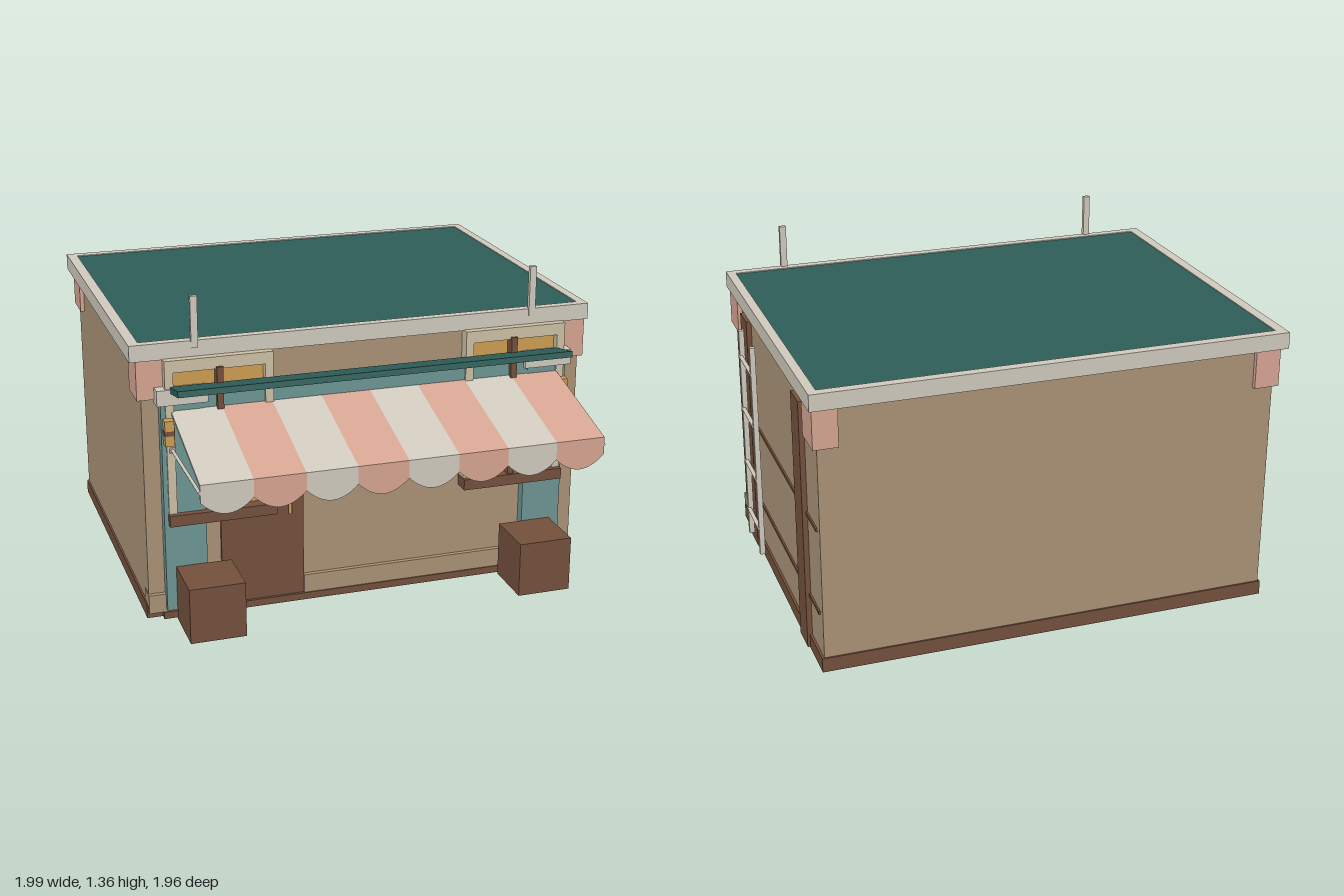
import * as THREE from 'three';

const mat = (name, color) => {
  const m = new THREE.MeshStandardMaterial({ color });
  m.name = name;
  return m;
};

export function createModel() {
  const tan = mat('tan plaster', 0xaa9277);
  const brown = mat('brown wood', 0x73503c);
  const stone = mat('pale trim', 0xd0cabd);
  const pink = mat('pink', 0xd6a592);
  const green = mat('dark green', 0x2d5d58);
  const teal = mat('teal paint', 0x6d9593);
  const amber = mat('amber glass', 0xcc9d52);
  const cream = mat('cream frame', 0xcdbfa4);

  const root = new THREE.Group();
  const group = (name) => {
    const g = new THREE.Group();
    g.name = name;
    root.add(g);
    return g;
  };
  const add = (parent, name, geometry, material) => {
    const m = new THREE.Mesh(geometry, material);
    m.name = name;
    parent.add(m);
    return m;
  };
  // Box given by its limits on each axis
  const box = (parent, name, material, x0, x1, y0, y1, z0, z1) => {
    const m = add(parent, name, new THREE.BoxGeometry(x1 - x0, y1 - y0, z1 - z0), material);
    m.position.set((x0 + x1) / 2, (y0 + y1) / 2, (z0 + z1) / 2);
    return m;
  };
  // Round bar between two points
  const bar = (parent, name, material, a, b, r) => {
    const p = new THREE.Vector3(...a), q = new THREE.Vector3(...b);
    const m = add(parent, name, new THREE.CylinderGeometry(r, r, p.distanceTo(q), 8), material);
    m.position.copy(p).add(q).multiplyScalar(0.5);
    m.quaternion.setFromUnitVectors(new THREE.Vector3(0, 1, 0), q.sub(p).normalize());
    return m;
  };
  const CX = -0.025; // centre line of the shop

  // Building shell
  const shell = group('building');
  box(shell, 'base', brown, -0.965, 0.925, 0, 0.06, -0.955, 0.46);
  box(shell, 'frontStep', brown, -0.9, 0.85, 0, 0.03, 0.46, 0.49);
  box(shell, 'walls', tan, -0.957, 0.915, 0.05, 1.12, -0.948, 0.465);
  box(shell, 'plinthRight', tan, -0.3, 0.92, 0.03, 0.11, 0.4, 0.485);
  box(shell, 'plinthLeft', tan, -0.96, -0.65, 0.03, 0.11, 0.4, 0.485);

  // Roof with a raised rim
  const roof = group('roof');
  box(roof, 'roofDeck', green, -0.957, 0.91, 1.12, 1.176, -0.945, 0.445);
  for (const [z0, z1] of [[-0.985, -0.945], [0.445, 0.482]])
    box(roof, 'roofRim', stone, -1, 0.947, 1.112, 1.18, z0, z1);
  for (const [x0, x1] of [[-1, -0.957], [0.91, 0.947]])
    box(roof, 'roofRim', stone, x0, x1, 1.112, 1.18, -0.945, 0.445);
  for (const x of [-0.74, 0.69])
    box(roof, 'roofPost', stone, x - 0.014, x + 0.014, 1.15, 1.36, 0.468, 0.487);

  // Corner blocks under the roof
  for (const [x0, x1] of [[-0.975, -0.87], [0.835, 0.935]])
    for (const [z0, z1] of [[-0.967, -0.815], [0.325, 0.475]])
      box(shell, 'cornerBlock', pink, x0, x1, 0.95, 1.115, z0, z1);

  // Shop front columns, caps and fascia
  const front = group('shopFront');
  for (const x of [-0.803, 0.755]) {
    box(front, 'column', teal, x - 0.086, x + 0.086, 0.045, 0.94, 0.46, 0.508);
    box(front, 'columnCap', stone, x - 0.103, x + 0.103, 0.935, 1.0, 0.46, 0.525);
  }
  box(front, 'fascia', teal, -0.72, 0.67, 0.89, 0.975, 0.46, 0.505);

  // Door
  box(front, 'door', brown, -0.65, -0.3, 0.01, 0.84, 0.44, 0.478);
  bar(front, 'doorHandle', amber, [-0.36, 0.4, 0.488], [-0.36, 0.465, 0.488], 0.008);

  // Windows: glass, frame, mullion and sill
  for (const x of [-0.65, 0.61]) {
    const w = group('window');
    box(w, 'glass', amber, x - 0.19, x + 0.19, 0.46, 1.075, 0.46, 0.482);
    box(w, 'frameTop', cream, x - 0.22, x + 0.22, 1.065, 1.115, 0.46, 0.515);
    for (const s of [-1, 1])
      box(w, 'frameSide', cream, x + s * 0.203 - 0.017, x + s * 0.203 + 0.017, 0.46, 1.07, 0.46, 0.515);
    const mx = x < 0 ? x : x - 0.01;
    box(w, 'mullion', brown, mx - 0.013, mx + 0.013, 0.46, 1.075, 0.478, 0.527);
    box(w, 'crossBar', amber, x - 0.19, x + 0.19, 0.612, 0.624, 0.478, 0.488);
    box(w, 'sill', brown, x - 0.222, x + 0.222, 0.425, 0.472, 0.46, 0.537);
  }

  // Small wall box with a knob
  box(front, 'wallBox', teal, 0.34, 0.388, 0.615, 0.68, 0.46, 0.495);
  bar(front, 'wallBoxKnob', brown, [0.364, 0.637, 0.49], [0.364, 0.637, 0.502], 0.009);

  // Lanterns beside the windows
  for (const x of [-0.864, 0.817]) {
    box(front, 'lantern', amber, x - 0.019, x + 0.019, 0.775, 0.88, 0.512, 0.55);
    box(front, 'lanternBand', brown, x - 0.02, x + 0.02, 0.818, 0.837, 0.506, 0.551);
  }

  // Tilted sign board
  const board = box(front, 'signBoard', green, -0.85, 0.8, 1.0, 1.025, 0.505, 0.66);
  board.position.set(CX, 1.009, 0.582);
  board.rotation.x = -0.2;

  // Striped awning with scalloped valance
  const awning = group('awning');
  const x0 = -0.847, w = 1.648 / 8;
  const back = [0.905, 0.49], tip = [0.772, 0.977];
  const slope = Math.hypot(tip[0] - back[0], tip[1] - back[1]);
  const tilt = Math.atan2(back[0] - tip[0], tip[1] - back[1]);
  const scallop = new THREE.Shape();
  scallop.moveTo(0, 0.778);
  scallop.lineTo(0, 0.705);
  scallop.quadraticCurveTo(w / 2, 0.6, w, 0.705);
  scallop.lineTo(w, 0.778);
  const flap = new THREE.ExtrudeGeometry(scallop, { depth: 0.01, bevelEnabled: false, curveSegments: 12 });
  const panel = new THREE.BoxGeometry(w, 0.012, slope);
  for (let i = 0; i < 8; i++) {
    const m = i % 2 ? pink : stone;
    const p = add(awning, 'awningStripe', panel, m);
    p.position.set(x0 + (i + 0.5) * w, (back[0] + tip[0]) / 2, (back[1] + tip[1]) / 2);
    p.rotation.x = tilt;
    add(awning, 'awningScallop', flap, m).position.set(x0 + i * w, 0, 0.969);
  }
  for (const x of [-0.848, 0.8]) {
    bar(awning, 'awningArm', stone, [x, 0.745, 0.47], [x, 0.745, 0.977], 0.007);
    box(awning, 'armMount', stone, x - 0.012, x + 0.012, 0.733, 0.757, 0.505, 0.52);
  }

  // Crates
  for (const x of [-0.733, 0.68])
    box(root, 'crate', brown, x - 0.115, x + 0.115, 0.003, 0.238, 0.51, 0.74);

  // Timber on the side wall
  const side = group('sideTimber');
  for (const z of [0.205, -0.7])
    box(side, 'sidePost', brown, 0.9, 0.936, 0.005, 1.062, z - 0.06, z + 0.06);
  for (const y of [0.595, 0.238])
    box(side, 'sideRail', brown, 0.9, 0.922, y - 0.007, y + 0.007, -0.91, 0.41);

  // Ladder
  const ladder = group('ladder');
  for (const z of [0.058, -0.152])
    box(ladder, 'ladderRail', stone, 0.966, 0.988, 0.125, 1.062, z - 0.01, z + 0.01);
  for (const y of [0.945, 0.71, 0.468, 0.24])
    bar(ladder, 'rung', stone, [0.982, y, -0.16], [0.982, y, 0.066], 0.009);

  return root;
}
